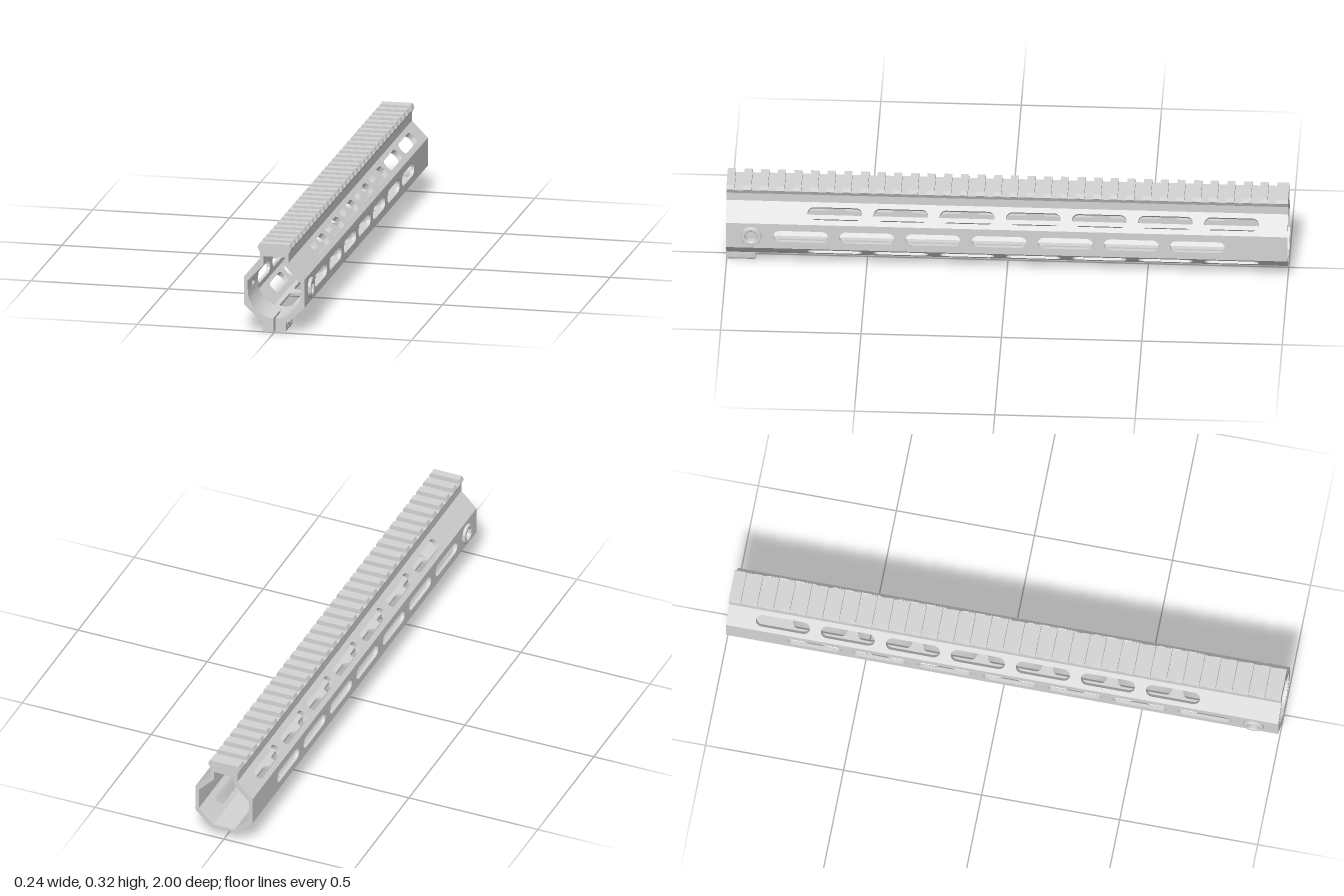
import * as THREE from 'three';
import { toCreasedNormals } from 'three/addons/utils/BufferGeometryUtils.js';

const PITCH = 0.2355;

export function createModel() {
  const model = new THREE.Group();
  const metal = new THREE.MeshStandardMaterial({ color: 0xd4d4d4 });
  metal.name = 'light grey metal';

  const add = (name, geometry, parent = model) => {
    const mesh = new THREE.Mesh(toCreasedNormals(geometry, 0.6), metal);
    mesh.name = name;
    parent.add(mesh);
    return mesh;
  };

  // Straight extrusion of an x/y outline from z0 to z1
  const prism = (points, z0, z1) => {
    const shape = points instanceof THREE.Shape ? points
      : new THREE.Shape(points.map(([x, y]) => new THREE.Vector2(x, y)));
    const g = new THREE.ExtrudeGeometry(shape, { depth: z1 - z0, bevelEnabled: false, curveSegments: 8 });
    return g.translate(0, 0, z0);
  };

  // Rounded slot along the length of a panel
  const slot = (u, v, length = 0.195, r = 0.023) => {
    const p = new THREE.Path();
    const h = length / 2 - r;
    p.moveTo(u - h, v - r);
    p.lineTo(u + h, v - r);
    p.absarc(u + h, v, r, -Math.PI / 2, Math.PI / 2, false);
    p.lineTo(u - h, v + r);
    p.absarc(u - h, v, r, Math.PI / 2, Math.PI * 1.5, false);
    return p;
  };

  // Tube cross-section, counter-clockwise seen from the front
  const half = [[0.052, 0.04], [0.11, 0.097], [0.11, 0.2], [0.052, 0.26], [0.052, 0.292]];
  const profile = [...half, ...half.slice().reverse().map(([x, y]) => [-x, y])]
    .map(([x, y]) => new THREE.Vector2(x, y));
  const n = profile.length;
  // Wall thickness of each panel, in the order of the names below
  const walls = [0.016, 0.0125, 0.019, 0.0135, 0.0135, 0.0135, 0.019, 0.0125, 0.016, 0.0115];
  const direction = (i) => profile[(i + 1) % n].clone().sub(profile[i % n]).normalize();
  const outward = (i) => { const d = direction(i); return new THREE.Vector2(d.y, -d.x); };
  // Inner corners, where the two neighbouring inner faces meet
  const inner = profile.map((p, i) => {
    const j = (i + n - 1) % n;
    const a = outward(j), b = outward(i), det = a.cross(b);
    return new THREE.Vector2(
      p.x + (walls[i] * a.y - walls[j] * b.y) / det,
      p.y + (walls[j] * b.x - walls[i] * a.x) / det);
  });

  // Each face of the tube is a slotted panel with mitred long edges
  const names = ['lowerLeftPanel', 'leftPanel', 'upperLeftPanel', 'leftNeck', 'neckTop',
    'rightNeck', 'upperRightPanel', 'rightPanel', 'lowerRightPanel', 'bottomPanel'];
  const tube = new THREE.Group();
  tube.name = 'tube';
  model.add(tube);
  names.forEach((name, i) => {
    const p0 = profile[i], p1 = profile[(i + 1) % n];
    const q0 = inner[i], q1 = inner[(i + 1) % n];
    const d = direction(i), o = outward(i), w = p0.distanceTo(p1), wall = walls[i];
    const isBottom = i === 9, isSide = i === 1 || i === 7;
    const isDiagonal = [0, 2, 6, 8].includes(i);
    let outline = [[-1, 0], [1, 0], [1, w], [-1, w]];
    if (isBottom) { // clamping slit at the front
      outline = outline.concat([[-1, w / 2 + 0.0035], [-0.89, w / 2 + 0.0035],
        [-0.89, w / 2 - 0.0035], [-1, w / 2 - 0.0035]]);
    }
    const shape = new THREE.Shape(outline.map(([u, v]) => new THREE.Vector2(u, v)));
    if (isBottom || isSide || isDiagonal) {
      const first = isDiagonal ? -0.613 : -0.733;
      for (let k = 0; k < 7; k++) shape.holes.push(slot(first + k * PITCH, w / 2));
    }
    if (isSide) {
      const hole = new THREE.Path();
      hole.absarc(-0.91, w / 2, 0.022, 0, Math.PI * 2, false);
      shape.holes.push(hole);
    }
    const g = new THREE.ExtrudeGeometry(shape, { depth: wall, bevelEnabled: false, curveSegments: 10 });
    const pos = g.attributes.position;
    for (let k = 0; k < pos.count; k++) {
      const u = pos.getX(k), v = pos.getY(k), t = pos.getZ(k) / wall;
      let point;
      if (v < 1e-5) point = q0.clone().lerp(p0, t);
      else if (v > w - 1e-5) point = q1.clone().lerp(p1, t);
      else point = p0.clone().addScaledVector(d, v).addScaledVector(o, (t - 1) * wall);
      pos.setXYZ(k, point.x, point.y, -u);
    }
    add(name, g, tube);
  });

  // Round bore inside the front of the tube, one half on each side of the slit
  const bore = [[0.0035, 0.051], [0.045, 0.051], [0.099, 0.104], [0.099, 0.149]];
  for (let k = 0; k <= 16; k++) {
    const a = -k / 16 * (Math.PI / 2 - 0.036);
    bore.push([0.097 * Math.cos(a), 0.149 + 0.097 * Math.sin(a)]);
  }
  const mirror = (points) => points.map(([x, y]) => [-x, y]);
  add('leftBore', prism(bore, 0.84, 0.999));
  add('rightBore', prism(mirror(bore), 0.84, 0.999));

  // Top rail: a continuous base with evenly spaced cross teeth
  const rail = new THREE.Group();
  rail.name = 'rail';
  model.add(rail);
  const symmetric = (pts) => [...pts, ...mirror(pts).reverse()];
  add('railBase', prism(symmetric([[0.052, 0.291], [0.0595, 0.307]]), -1, 1), rail);
  const tooth = symmetric([[0.052, 0.2925], [0.0615, 0.31], [0.055, 0.325]]);
  for (let k = 0; k < 34; k++) {
    const z = 1 - k * 0.0593;
    add('railTooth', prism(tooth, k === 33 ? -1 : z - 0.029, z), rail);
  }

  // Hollow round boss turned about its own axis
  const boss = (r, hole, height, floor) => new THREE.LatheGeometry([
    [r, -0.002], [r, height * 0.7], [r * 0.93, height], [hole * 1.15, height],
    [hole, height * 0.7], [hole, floor], [0, floor],
  ].map(([x, y]) => new THREE.Vector2(x, y)), 32);

  for (const side of [1, -1]) {
    const label = side > 0 ? 'left' : 'right';

    // Sling socket on the side
    const socket = add(label + 'Socket', boss(0.037, 0.021, 0.0105, -0.0125));
    socket.rotation.z = -side * Math.PI / 2;
    socket.position.set(side * 0.11, 0.1485, 0.91);

    // Clamp lug under the front
    const lug = new THREE.Shape();
    lug.moveTo(side * 0.0035, 0);
    lug.lineTo(side * 0.031, 0);
    lug.quadraticCurveTo(side * 0.042, 0, side * 0.043, 0.012);
    lug.lineTo(side * 0.043, 0.043);
    lug.lineTo(side * 0.0035, 0.043);
    add(label + 'ClampLug', prism(lug, 0.897, 0.999));

    // Clamp screws, nearly flush with the lug
    for (const z of [0.925, 0.973]) {
      const screw = add(label + 'ClampScrew', boss(0.014, 0.007, 0.0012, 0.0003));
      screw.rotation.z = -side * Math.PI / 2;
      screw.position.set(side * 0.043, 0.023, z);
    }
  }
  return model;
}
